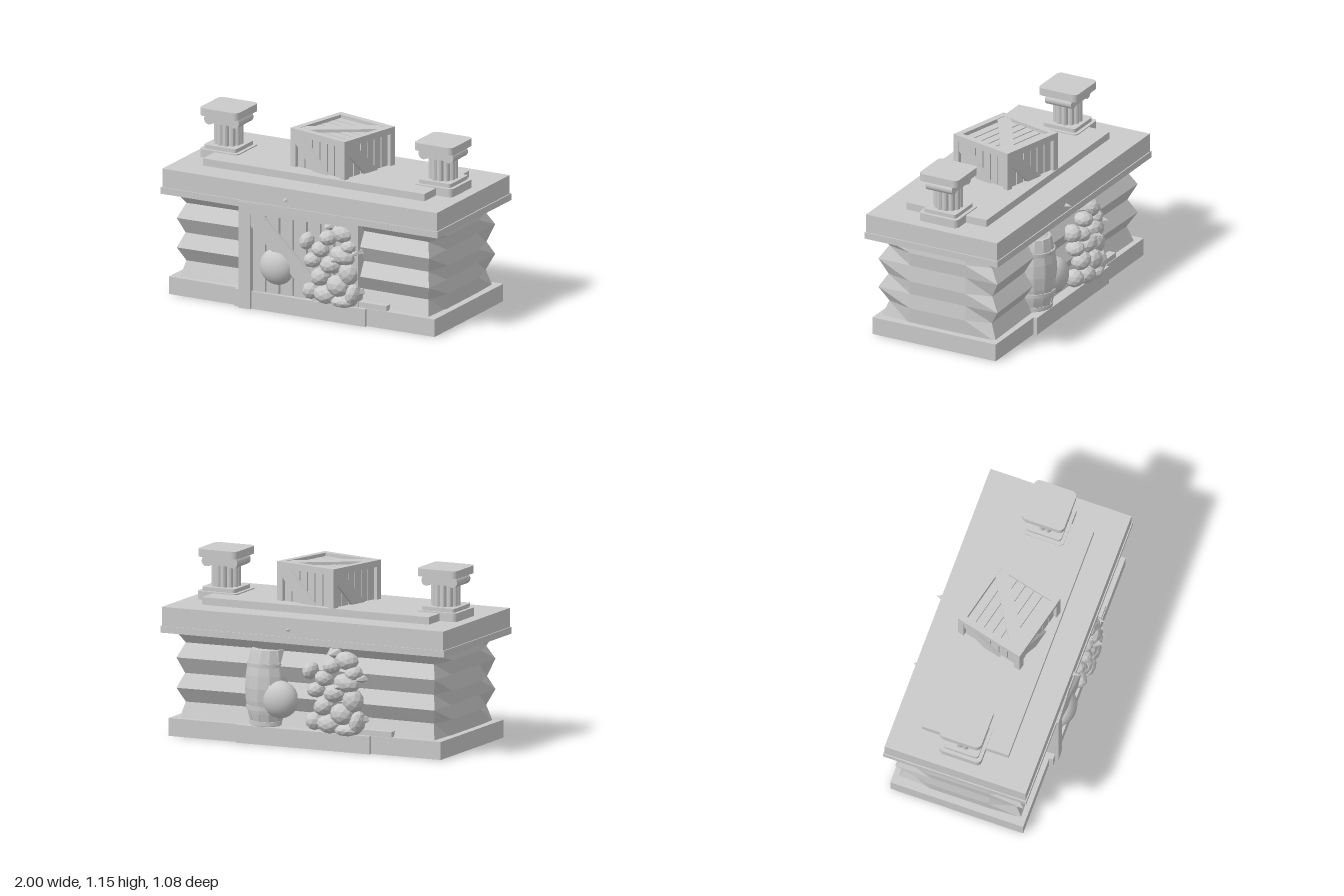
import * as THREE from 'three';

const stone = new THREE.MeshStandardMaterial({ color: 0xcacaca });
stone.name = 'grey stone';
stone.flatShading = false;
const faceted = stone;

function add(parent, name, geo, x = 0, y = 0, z = 0) {
  const m = new THREE.Mesh(geo, stone);
  m.name = name;
  m.position.set(x, y, z);
  parent.add(m);
  return m;
}
// Box given by its limits on each axis
function box(parent, name, x0, x1, y0, y1, z0, z1) {
  return add(parent, name, new THREE.BoxGeometry(x1 - x0, y1 - y0, z1 - z0),
    (x0 + x1) / 2, (y0 + y1) / 2, (z0 + z1) / 2);
}
function polygon(points, depth) {
  const shape = new THREE.Shape(points.map(([x, y]) => new THREE.Vector2(x, y)));
  return new THREE.ExtrudeGeometry(shape, { depth, bevelEnabled: false });
}
// Hard facets with the shared material
function facet(geo) {
  const g = geo.index ? geo.toNonIndexed() : geo;
  g.computeVertexNormals();
  return g;
}
// Rounded square slab lying flat, bottom at y = 0
function slab(half, height, r) {
  const s = new THREE.Shape(), k = half - r;
  [[k, k, 0], [-k, k, 1], [-k, -k, 2], [k, -k, 3]].forEach(([x, y, q]) =>
    s.absarc(x, y, r, q * Math.PI / 2, (q + 1) * Math.PI / 2));
  return new THREE.ExtrudeGeometry(s, { depth: height, bevelEnabled: false, curveSegments: 5 })
    .rotateX(-Math.PI / 2);
}

// One face of a crate, seen along +z and centred on the origin
function crateFace(s, turn) {
  const g = new THREE.Group(), h = s / 2, w = s * 0.09, a = h - w, d = s * 0.13;
  g.name = 'crateFace';
  const f = new THREE.Group();
  f.name = 'facePlanks';
  for (const k of [-1, 1]) {
    add(f, 'frameRail', new THREE.BoxGeometry(s, w, w), 0, k * (h - w / 2), h - w / 2);
    add(f, 'framePost', new THREE.BoxGeometry(w, 2 * a, w), k * (h - w / 2), 0, h - w / 2);
  }
  const n = 6, pitch = 2 * a / n;
  for (let i = 0; i < n; i++)
    add(f, 'slat', new THREE.BoxGeometry(pitch * 0.87, 2 * a, 0.02), -a + pitch * (i + 0.5), 0, h - w * 0.75);
  add(f, 'brace', polygon([[-a, a], [-a, a - d], [a - d, -a], [a, -a], [a, -a + d], [-a + d, a]], 0.02),
    0, 0, h - w * 0.55);
  f.rotation.z = turn;
  g.add(f);
  return g;
}
function crate(s) {
  const g = new THREE.Group();
  g.name = 'topCrate';
  add(g, 'crateCore', new THREE.BoxGeometry(s * 0.83, s * 0.83, s * 0.83));
  for (let i = 0; i < 4; i++) {
    const f = crateFace(s, 0);
    f.rotation.y = i * Math.PI / 2;
    g.add(f);
  }
  const lid = crateFace(s, Math.PI / 2);
  lid.rotation.x = -Math.PI / 2;
  g.add(lid);
  return g;
}

// Large crate front sunk into the wall
function frontCrate() {
  const g = new THREE.Group();
  g.name = 'frontCrate';
  box(g, 'crateBack', -0.4, 0.37, 0.01, 0.67, -0.12, -0.055);
  for (const x of [-0.43, 0.33]) box(g, 'cratePost', x, x + 0.08, 0, 0.7, -0.1, 0);
  box(g, 'crateTopRail', -0.35, 0.33, 0.63, 0.7, -0.08, 0);
  for (let i = 0; i < 7; i++) {
    const x = -0.345 + i * 0.097;
    box(g, 'crateSlat', x, x + 0.084, 0.05, 0.63, -0.06, -0.03);
  }
  add(g, 'crateBrace', polygon([[-0.35, 0.63], [-0.35, 0.55], [0.1, 0.1], [0.21, 0.1], [0.21, 0.15], [-0.27, 0.63]], 0.025), 0, 0, -0.03);
  g.position.z = 0.47;
  g.rotation.y = 0.05;
  return g;
}

// Short fluted column with scroll capital
function column() {
  const g = new THREE.Group();
  g.name = 'column';
  add(g, 'plinth', slab(0.14, 0.055, 0.03), 0, 0.83);
  add(g, 'upperPlinth', slab(0.117, 0.03, 0.02), 0, 0.88);
  const pts = [];
  for (let i = 0; i < 72; i++) {
    const t = i / 72 * Math.PI * 2, r = 0.081 + 0.014 * Math.abs(Math.sin(t * 6));
    pts.push([r * Math.cos(t), r * Math.sin(t)]);
  }
  add(g, 'flutedShaft', polygon(pts, 0.15).rotateX(-Math.PI / 2), 0, 0.905);
  box(g, 'capital', -0.09, 0.09, 1.05, 1.107, -0.095, 0.095);
  for (const s of [-1, 1])
    add(g, 'scroll', new THREE.CylinderGeometry(0.034, 0.034, 0.19, 20).rotateX(Math.PI / 2), s * 0.092, 1.073);
  add(g, 'capSlab', slab(0.14, 0.05, 0.035), 0, 1.105);
  return g;
}

// Stacked timber wall: rings of corners that step in and out with height
function wall() {
  const rows = [[0.1, 0.045], [0.215, 0], [0.31, 0.06], [0.4, 0.005], [0.505, 0.06], [0.595, 0], [0.67, 0.06]];
  const ring = ([y, o], i) => {
    const x = 0.875 + o * 0.6, z = 0.37 + o, f = 0.912 + (i % 2) * 0.01;
    return [[f, 0.2], [x, z], [0.45, z - 0.01], [-0.45, z - 0.01], [-x, z], [-f, 0.2],
      [-f, -0.2], [-x, -z], [-0.45, -z + 0.01], [0.45, -z + 0.01], [x, -z], [f, -0.2]].map(([a, b]) => [a, y, b]);
  };
  const pos = [], rings = rows.map(ring);
  for (let i = 0; i < rings.length - 1; i++)
    for (let j = 0; j < 12; j++) {
      const k = (j + 1) % 12, a = rings[i][j], b = rings[i][k], c = rings[i + 1][k], d = rings[i + 1][j];
      pos.push(...a, ...c, ...b, ...a, ...d, ...c);
    }
  const geo = new THREE.BufferGeometry();
  geo.setAttribute('position', new THREE.Float32BufferAttribute(pos, 3));
  geo.computeVertexNormals();
  return geo;
}

// Barrel of separate bowed staves with hoops
function barrel() {
  const g = new THREE.Group(), n = 12, h = 0.49;
  g.name = 'barrel';
  const bow = t => 0.11 + 0.038 * Math.sin(Math.PI * t);
  const profile = [];
  for (let i = 0; i <= 6; i++) profile.push(new THREE.Vector2(bow(i / 6), h * i / 6));
  const inner = profile.map(p => new THREE.Vector2(p.x - 0.012, p.y));
  inner.unshift(new THREE.Vector2(0, 0));
  inner.push(new THREE.Vector2(0, h - 0.02));
  add(g, 'barrelCore', new THREE.LatheGeometry(inner, 24));
  const loop = [...profile, ...profile.map(p => new THREE.Vector2(p.x - 0.02, p.y)).reverse(), profile[0]];
  for (let i = 0; i < n; i++)
    add(g, 'stave', facet(new THREE.LatheGeometry(loop, 1, i / n * Math.PI * 2, Math.PI * 2 / n * 0.88)));
  for (const t of [0.02, 0.22, 0.78]) {
    const r = bow(t + 0.03) + 0.004;
    add(g, 'hoop', new THREE.CylinderGeometry(r, r, 0.025, 24), 0, h * t + 0.0125);
  }
  g.position.set(0.3, 0.112, -0.355);
  return g;
}

// Heap of broken stones spilling from the wall; each row is x, y, z, half width, half height
function rubble() {
  const g = new THREE.Group();
  g.name = 'rubble';
  const stones = [[0.04, 0.5, 0.44, 0.05, 0.06], [0.14, 0.46, 0.45, 0.06, 0.05], [0.3, 0.44, 0.45, 0.09, 0.06],
    [0.29, 0.58, 0.43, 0.08, 0.06], [0.19, 0.54, 0.44, 0.06, 0.05], [0.08, 0.38, 0.44, 0.06, 0.05],
    [0.22, 0.37, 0.45, 0.08, 0.06], [0.34, 0.33, 0.44, 0.07, 0.08], [0.14, 0.28, 0.45, 0.07, 0.06],
    [0.27, 0.24, 0.46, 0.08, 0.07], [0.37, 0.19, 0.44, 0.05, 0.08], [0.18, 0.17, 0.46, 0.08, 0.06],
    [0.3, 0.14, 0.45, 0.09, 0.04], [0.07, 0.18, 0.44, 0.06, 0.06], [0.34, 0.5, 0.43, 0.06, 0.05]];
  stones.forEach(([x, y, z, w, h], i) => {
    const geo = facet(new THREE.IcosahedronGeometry(1, 1).rotateY(i * 1.3).rotateX(i * 0.7).scale(w, h, 0.065));
    add(g, 'brokenStone', geo, x, y, z).rotation.z = i * 0.9 % 0.8 - 0.4;
  });
  add(g, 'boulder', new THREE.SphereGeometry(1, 24, 16).scale(0.122, 0.12, 0.09), -0.18, 0.295, 0.43);
  // Pointed shards standing out from the wall
  for (const [x, y, z, r, l] of [[-0.1, 0.755, 0.48, 0.03, 0.07], [0.395, 0.21, 0.46, 0.05, 0.1],
    [0.39, 0.47, 0.46, 0.045, 0.1], [0.26, 0.42, 0.49, 0.07, 0.1], [0.2, 0.62, 0.46, 0.06, 0.09]])
    add(g, 'shard', facet(new THREE.ConeGeometry(r, l, 5).rotateX(Math.PI / 2).scale(1, 0.6, 1)), x, y, z);
  return g;
}

export function createModel() {
  const root = new THREE.Group();
  root.name = 'stoneCounter';

  // Stepped base
  box(root, 'base', -0.96, 0.96, 0, 0.115, -0.445, 0.445);
  box(root, 'baseStep', -0.47, 0.47, 0, 0.115, -0.47, 0.47);

  add(root, 'timberWall', wall());

  // Table top
  box(root, 'topMoulding', -1, 1, 0.665, 0.708, -0.48, 0.48);
  box(root, 'tableTop', -0.992, 0.992, 0.7, 0.83, -0.473, 0.473);
  box(root, 'topPanel', -0.8, 0.8, 0.82, 0.878, -0.29, 0.29);

  for (const s of [-1, 1]) {
    const c = column();
    c.position.x = s * 0.775;
    root.add(c);
  }

  const top = crate(0.466);
  top.position.set(0.044, 0.897, -0.008);
  top.rotation.y = -0.24;
  root.add(top);

  root.add(frontCrate(), barrel());

  // Same heap and ledge on both long sides, half a turn apart
  for (const a of [0, Math.PI]) {
    const side = new THREE.Group();
    side.name = a ? 'backSide' : 'frontSide';
    side.add(rubble());
    box(side, 'ledge', 0.3, 0.61, 0.11, 0.15, 0.36, 0.44);
    side.rotation.y = a;
    root.add(side);
  }
  return root;
}
